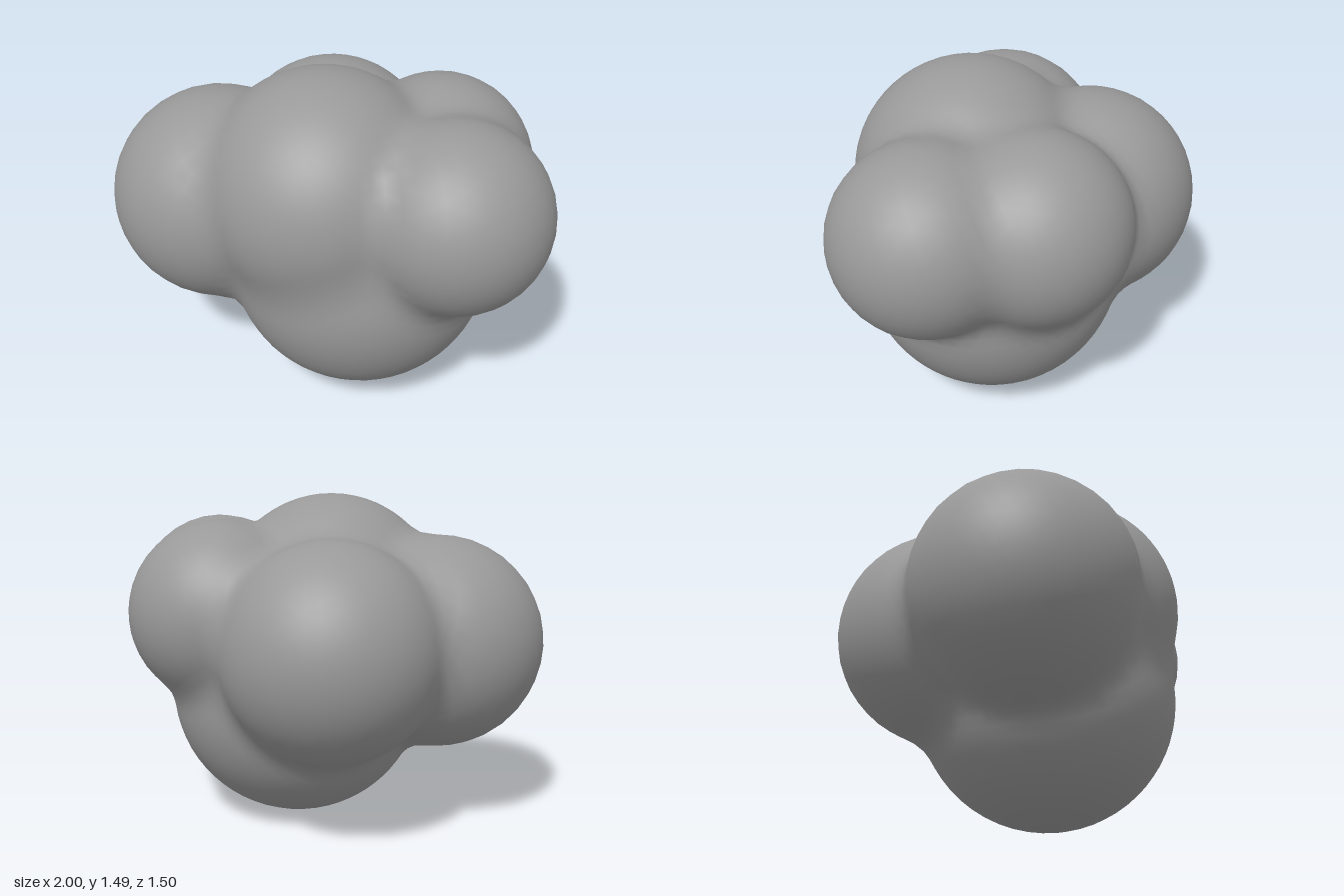
import * as THREE from 'three';

// Lobes of the puff: centre x, y, z and radius
const LOBES = [
  [-0.515, 0.83, 0.25, 0.485],  // right side
  [0, 0.965, 0.22, 0.53],       // front middle
  [0.59, 0.975, 0.19, 0.41],    // left side
  [0.36, 0.965, -0.19, 0.42],   // back left
  [-0.22, 0.835, -0.27, 0.483], // back right
  [0.11, 0.59, 0.09, 0.59],     // bottom
].map(([x, y, z, r]) => ({ center: new THREE.Vector3(x, y, z), r }));

const BLEND = 0.08; // width of the soft crease between lobes
const CORE = new THREE.Vector3(0.05, 0.82, 0.06);

// Distance to the softly joined lobes
function distance(p) {
  let d = Infinity;
  for (const { center, r } of LOBES) {
    const e = p.distanceTo(center) - r;
    const h = Math.max(BLEND - Math.abs(d - e), 0) / BLEND;
    d = Math.min(d, e) - h * h * BLEND * 0.25;
  }
  return d;
}

// Surface normal from the slope of the distance, softened across creases
function normalAt(p) {
  const n = new THREE.Vector3();
  for (const axis of ['x', 'y', 'z']) {
    const a = p.clone(), b = p.clone();
    a[axis] += 0.04;
    b[axis] -= 0.04;
    n[axis] = distance(a) - distance(b);
  }
  return n.normalize();
}

// Shrink a ball towards the core until it meets the lobes
function puffGeometry() {
  const geometry = new THREE.IcosahedronGeometry(1, 14);
  const position = geometry.attributes.position;
  const normal = geometry.attributes.normal;
  const dir = new THREE.Vector3(), p = new THREE.Vector3();
  for (let i = 0; i < position.count; i++) {
    dir.fromBufferAttribute(position, i).normalize();
    let t = 1.5;
    for (let step = 0; step < 50; step++) {
      const d = distance(p.copy(CORE).addScaledVector(dir, t));
      if (d < 0.0005) break;
      t -= d;
    }
    position.setXYZ(i, p.x, p.y, p.z);
    const n = normalAt(p);
    normal.setXYZ(i, n.x, n.y, n.z);
  }
  return geometry;
}

export function createModel() {
  const group = new THREE.Group();
  group.name = 'cloud';
  const puff = new THREE.Mesh(puffGeometry(), new THREE.MeshStandardMaterial({ color: 0x999999 }));
  puff.name = 'cloudPuff';
  group.add(puff);
  return group;
}
